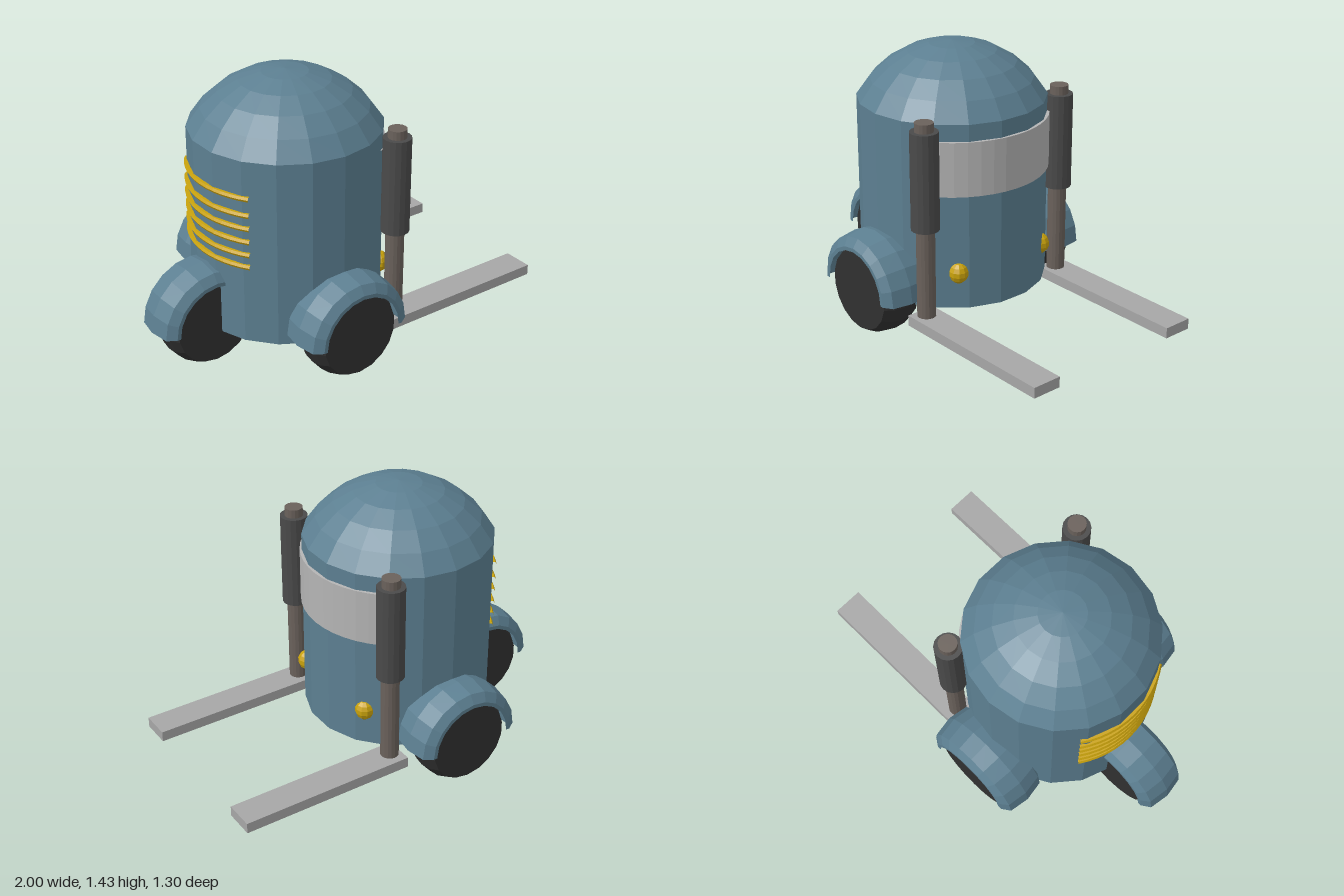
import * as THREE from 'three';

const mat = (color, side = THREE.FrontSide) =>
  new THREE.MeshStandardMaterial({ color, side, flatShading: true });
const pts = (list) => list.map(([r, y]) => new THREE.Vector2(r, y));

export function createModel() {
  const group = new THREE.Group();
  const blue = mat(0x5c7f91);
  const blueShell = mat(0x5c7f91, THREE.DoubleSide);
  const rubber = mat(0x303030);
  const darkGrey = mat(0x4a4a4a);
  const rodGrey = mat(0x6a615b);
  const gold = mat(0xc9a20c);
  const lightGrey = mat(0xb4b4b4);
  const forkGrey = mat(0xa6a6a6);
  const CX = -0.2, CZ = 0.01;

  const add = (name, geometry, material, x, y, z, parent = group) => {
    const mesh = new THREE.Mesh(geometry, material);
    mesh.name = name;
    mesh.position.set(x, y, z);
    parent.add(mesh);
    return mesh;
  };

  // Cylindrical body with a shallow spherical dome
  const R = 0.482, shoulder = 1.155, top = 1.435;
  const h = top - shoulder, capR = (R * R + h * h) / (2 * h);
  const capAngle = Math.asin(R / capR);
  const profile = [[0, 0.19], [R, 0.19], [R, shoulder]];
  for (let i = 1; i <= 5; i++) {
    const a = capAngle * (1 - i / 5);
    profile.push([capR * Math.sin(a), top - capR + capR * Math.cos(a)]);
  }
  add('body', new THREE.LatheGeometry(pts(profile), 18), blue, CX, 0, CZ);

  // Pale visor band wrapped round the front
  const band = pts([[0.46, 0.79], [0.492, 0.79], [0.492, 1.07], [0.46, 1.07], [0.46, 0.79]]);
  const half = THREE.MathUtils.degToRad(54);
  add('visorBand', new THREE.LatheGeometry(band, 14, Math.PI / 2 - half, half * 2), lightGrey, CX, 0, CZ);

  // Gold cooling ribs across the back
  const ribHalf = 0.6;
  [0.605, 0.67, 0.74, 0.81, 0.88, 0.967].forEach((y) => {
    const rib = new THREE.TorusGeometry(0.483, 0.014, 6, 12, ribHalf * 2);
    rib.rotateZ(Math.PI - ribHalf).rotateX(Math.PI / 2);
    add('rearRib', rib, gold, CX, y, CZ);
  });

  // Wheels with bulging treads, each under a rounded half-round fender
  const tyre = new THREE.LatheGeometry(pts([
    [0, -0.108], [0.21, -0.108], [0.235, -0.06], [0.243, 0],
    [0.235, 0.06], [0.21, 0.108], [0, 0.108],
  ]), 18).rotateX(Math.PI / 2);
  const section = pts([
    [0.215, -0.135], [0.235, -0.135], [0.28, -0.105], [0.297, 0],
    [0.28, 0.105], [0.235, 0.135], [0.215, 0.135], [0.25, 0.112], [0.25, -0.112],
  ]);
  const shell = new THREE.LatheGeometry([...section, section[0]], 10, Math.PI / 2, Math.PI)
    .rotateX(Math.PI / 2);
  const endCap = new THREE.ShapeGeometry(new THREE.Shape(section)).rotateX(Math.PI / 2);

  const addWheel = (name, x, z) => {
    const unit = new THREE.Group();
    unit.name = name;
    unit.position.set(x, 0.25, z);
    add('tyre', tyre, rubber, 0, 0, 0, unit);
    add('fender', shell, blueShell, 0, 0, 0, unit);
    add('fenderEnd', endCap, blueShell, 0, 0, 0, unit);
    add('fenderEnd', endCap, blueShell, 0, 0, 0, unit).rotation.z = Math.PI;
    group.add(unit);
  };
  addWheel('rearWheel', -0.7, CZ);
  addWheel('leftWheel', CX, 0.515);
  addWheel('rightWheel', CX, -0.515);

  // Lift columns, forks and lamps on both sides
  for (const s of [1, -1]) {
    const z = s * 0.435 + 0.022;
    add('liftRod', new THREE.CylinderGeometry(0.047, 0.047, 1.015, 16), rodGrey, 0.135, 0.6875, z);
    add('liftSleeve', new THREE.CylinderGeometry(0.071, 0.071, 0.5, 16), darkGrey, 0.135, 0.9, z);
    add('fork', new THREE.BoxGeometry(0.92, 0.055, 0.156), forkGrey, 0.54, 0.158, z - 0.005);
    const lamp = new THREE.SphereGeometry(0.05, 10, 7).scale(1, 1.1, 1);
    add('lamp', lamp, gold, 0.178, 0.38, s * 0.271 + 0.015);
  }

  return group;
}
